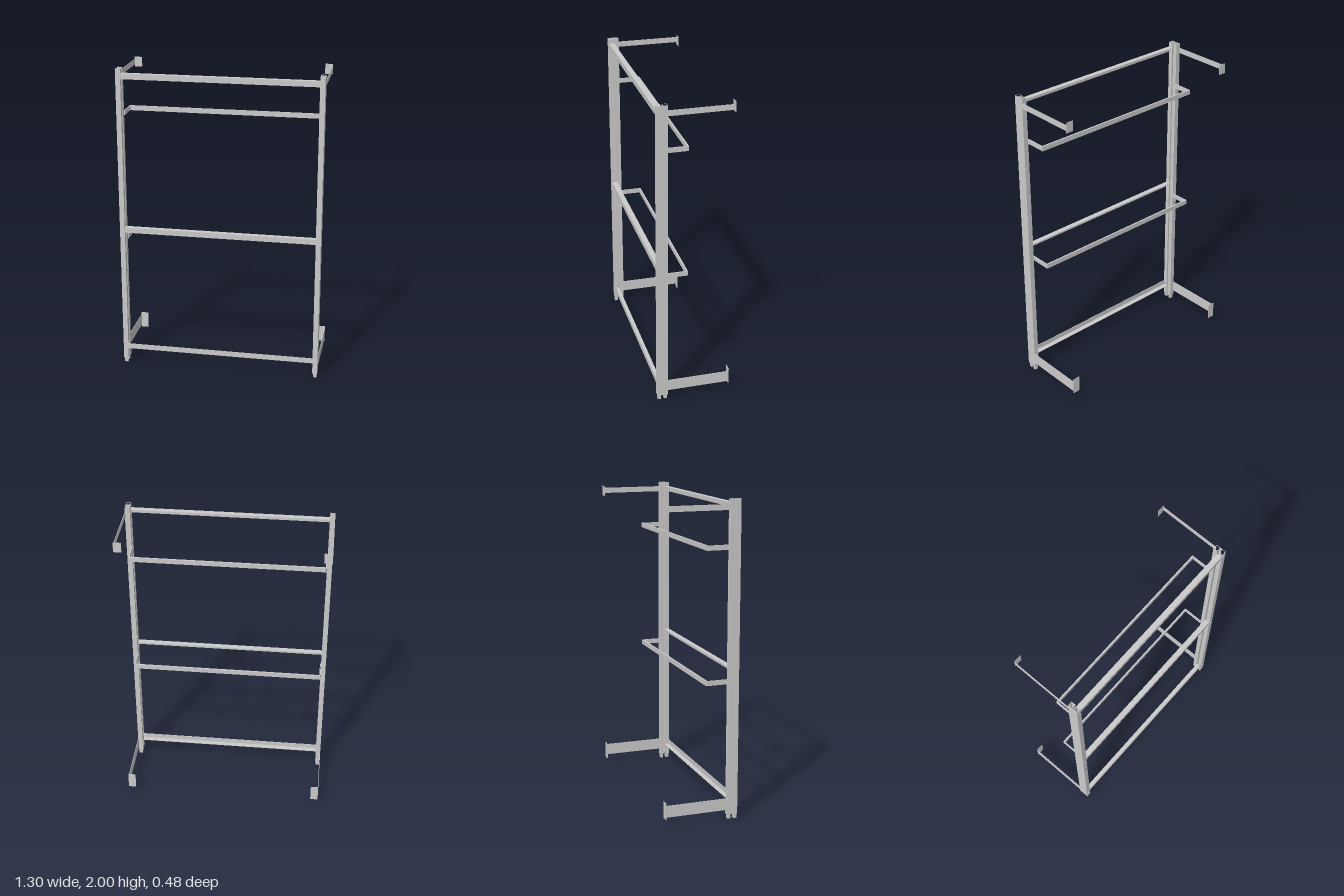
import * as THREE from 'three';

const material = new THREE.MeshStandardMaterial({ color: 0xcccccc, flatShading: true });

export function createModel() {
  const group = new THREE.Group();

  const add = (name, geometry) => {
    const mesh = new THREE.Mesh(geometry, material);
    mesh.name = name;
    group.add(mesh);
    return mesh;
  };

  // Box given by its limits on each axis
  const box = (name, x0, x1, y0, y1, z0, z1) => {
    const mesh = add(name, new THREE.BoxGeometry(Math.abs(x1 - x0), y1 - y0, z1 - z0));
    mesh.position.set((x0 + x1) / 2, (y0 + y1) / 2, (z0 + z1) / 2);
    return mesh;
  };

  const outer = 0.652, inner = 0.62;
  const back = 0.167, front = 0.235, slotBack = 0.195, slotFront = 0.206;
  const wall = 0.003;

  for (const s of [1, -1]) {
    const side = s > 0 ? 'left' : 'right';
    const points = (list) => list.map(([x, z]) => new THREE.Vector2(s * x, -z));

    // Upright: two hollow tubes joined by an outer web, with a slot on the inner side
    const section = new THREE.Shape(points([
      [outer, back], [outer, front], [inner, front], [inner, slotFront],
      [outer - wall, slotFront], [outer - wall, slotBack], [inner, slotBack], [inner, back],
    ]));
    for (const [z0, z1] of [[back, slotBack], [slotFront, front]]) {
      section.holes.push(new THREE.Path(points([
        [outer - wall, z0 + wall], [outer - wall, z1 - wall],
        [inner + wall, z1 - wall], [inner + wall, z0 + wall],
      ])));
    }
    const upright = new THREE.ExtrudeGeometry(section, { depth: 1.97, bevelEnabled: false });
    upright.rotateX(-Math.PI / 2).translate(0, 0.03, 0);
    add(side + 'Upright', upright);

    // Foot plugs below each tube
    for (const [z0, z1] of [[back, slotBack], [slotFront, front]]) {
      box(side + 'Foot', s * (inner + 0.005), s * (outer - 0.004), 0, 0.06, z0 + 0.004, z1 - 0.004);
    }

    // Wall arms with end plates turned inwards
    for (const [name, y0, y1, p0, p1] of [
      ['UpperArm', 1.935, 1.97, 1.92, 1.985],
      ['LowerArm', 0.062, 0.138, 0.045, 0.155],
    ]) {
      box(side + name, s * (outer - wall), s * outer, y0, y1, -0.236, back);
      box(side + name + 'Plate', s * 0.602, s * outer, p0, p1, -0.239, -0.236);
    }

    // Bolt heads on the front of the upright
    for (const y of [0.11, 0.94, 1.96]) {
      const bolt = add(side + 'Bolt', new THREE.CylinderGeometry(0.006, 0.006, 0.004, 12));
      bolt.rotation.x = Math.PI / 2;
      bolt.position.set(s * 0.636, y, front + 0.002);
    }

    // Short brackets carrying the rear rails
    for (const y of [0.865, 1.694]) {
      box(side + 'RailBracket', s * 0.613, s * 0.619, y, y + 0.031, 0.031, 0.172);
    }
  }

  // Rear rails
  for (const y of [0.865, 1.694]) {
    box('rearRail', -0.619, 0.619, y, y + 0.031, 0.031, 0.041);
  }

  // Front angle rails: the lowest has its flange at the bottom, the others on top
  for (const [y, flangeOnTop] of [[0.1, false], [0.926, true], [1.936, true]]) {
    const f = flangeOnTop ? y + 0.035 - wall : y;
    box('frontRailFace', -inner, inner, y, y + 0.035, 0.232 - wall, 0.232);
    box('frontRailFlange', -inner, inner, f, f + wall, 0.198, 0.232 - wall);
  }

  return group;
}
